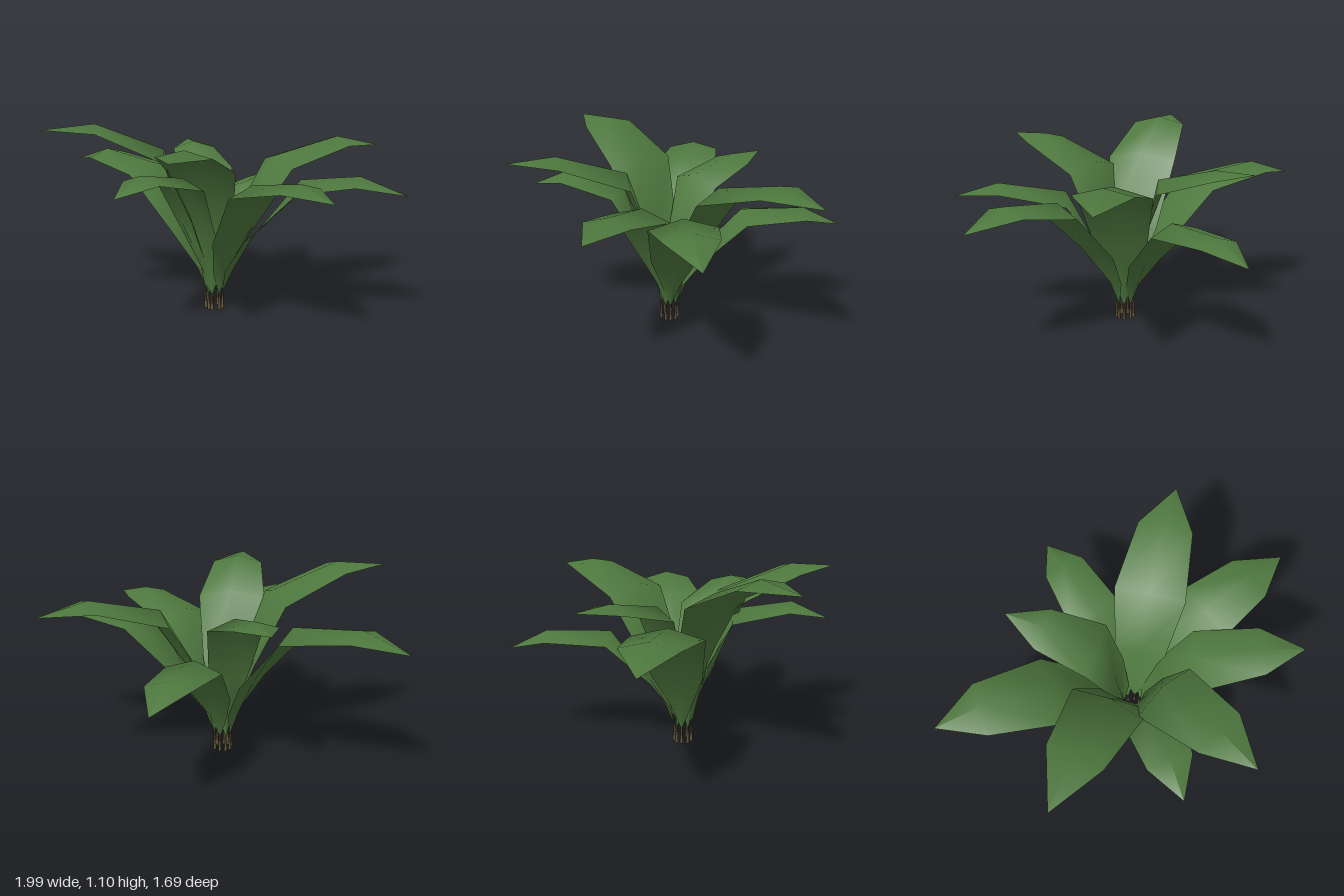
import * as THREE from 'three';

// Each leaf: tip, shoulder and widest point on the midrib, and its half width
const LEAVES = [
  { tip: [-0.84, 0.78, -0.79], shoulder: [-0.65, 0.87, -0.61], wide: [-0.36, 0.82, -0.32], half: 0.2 },
  { tip: [-0.13, 0.905, -0.74], shoulder: [-0.11, 0.92, -0.52], wide: [-0.065, 0.85, -0.2], half: 0.165 },
  { tip: [0.485, 0.58, -0.85], shoulder: [0.375, 0.685, -0.67], wide: [0.185, 0.68, -0.36], half: 0.162 },
  { tip: [0.99, 0.92, -0.24], shoulder: [0.72, 0.985, -0.18], wide: [0.33, 0.89, -0.09], half: 0.205 },
  { tip: [0.95, 0.745, 0.46], shoulder: [0.715, 0.84, 0.355], wide: [0.42, 0.8, 0.205], half: 0.187 },
  { tip: [0.46, 0.79, 0.81], shoulder: [0.335, 0.855, 0.605], wide: [0.14, 0.79, 0.28], half: 0.18 },
  { tip: [-0.34, 1.01, 0.84], shoulder: [-0.25, 1.035, 0.59], wide: [-0.13, 0.91, 0.21], half: 0.195 },
  { tip: [-0.6, 0.79, 0.57], shoulder: [-0.46, 0.88, 0.42], wide: [-0.23, 0.82, 0.19], half: 0.165 },
  { tip: [-1.0, 1.07, 0.02], shoulder: [-0.7, 1.1, 0.005], wide: [-0.32, 0.95, -0.005], half: 0.205 },
];
const STEM_TOP = 0.1;

// Blade cupped towards the middle of the plant near its foot, roof-shaped further out
function bladeGeometry(base, wide, shoulder, tip, half) {
  const along = new THREE.Vector3(tip.x - base.x, 0, tip.z - base.z).normalize();
  const side = new THREE.Vector3(along.z, 0, -along.x);
  const between = (across, up) => {
    const p = new THREE.Vector3().lerpVectors(base, wide, across);
    p.y = THREE.MathUtils.lerp(base.y, wide.y, up);
    return p;
  };
  const rows = [
    { c: base, width: 0.005, out: 0, drop: 0 },
    { c: between(0.14, 0.2), width: half * 0.3, out: -0.03, drop: 0 },
    { c: between(0.4, 0.5), width: half * 0.72, out: -0.01, drop: 0 },
    { c: wide, width: half, out: 0.02, drop: 0.05 },
    { c: shoulder, width: half * 0.77, out: 0, drop: 0.04 },
    { c: tip, width: 0.002, out: 0, drop: 0 },
  ];
  const positions = [], index = [];
  rows.forEach(({ c, width, out, drop }, r) => {
    for (const s of [-1, 0, 1]) {
      const p = c.clone().addScaledVector(side, width * s).addScaledVector(along, out * Math.abs(s));
      positions.push(p.x, p.y - drop * Math.abs(s), p.z);
    }
    if (r === 0) return;
    for (let k = 0; k < 2; k++) {
      const a = (r - 1) * 3 + k, b = a + 3;
      index.push(a, a + 1, b, a + 1, b + 1, b);
    }
  });
  const geometry = new THREE.BufferGeometry();
  geometry.setAttribute('position', new THREE.Float32BufferAttribute(positions, 3));
  geometry.setIndex(index);
  geometry.computeVertexNormals();
  return geometry;
}

export function createModel() {
  const plant = new THREE.Group();
  plant.name = 'leafyPlant';
  const leafGreen = new THREE.MeshStandardMaterial({ color: 0x4e783e, side: THREE.DoubleSide });
  leafGreen.name = 'leafGreen';
  const stemBrown = new THREE.MeshStandardMaterial({ color: 0x66583f });
  stemBrown.name = 'stemBrown';

  LEAVES.forEach((leaf, i) => {
    const [tip, shoulder, wide] = [leaf.tip, leaf.shoulder, leaf.wide].map(p => new THREE.Vector3(...p));
    const angle = Math.atan2(tip.z, tip.x);
    const base = new THREE.Vector3(-0.036 + 0.05 * Math.cos(angle), STEM_TOP, -0.012 + 0.05 * Math.sin(angle));

    const blade = new THREE.Mesh(bladeGeometry(base, wide, shoulder, tip, leaf.half), leafGreen);
    blade.name = `leaf${i + 1}`;
    plant.add(blade);

    // Thin stalk under each blade
    const stalk = new THREE.Mesh(new THREE.CylinderGeometry(0.005, 0.01, STEM_TOP, 5), stemBrown);
    stalk.position.set(base.x, STEM_TOP / 2, base.z);
    stalk.name = `stalk${i + 1}`;
    plant.add(stalk);
  });
  return plant;
}
